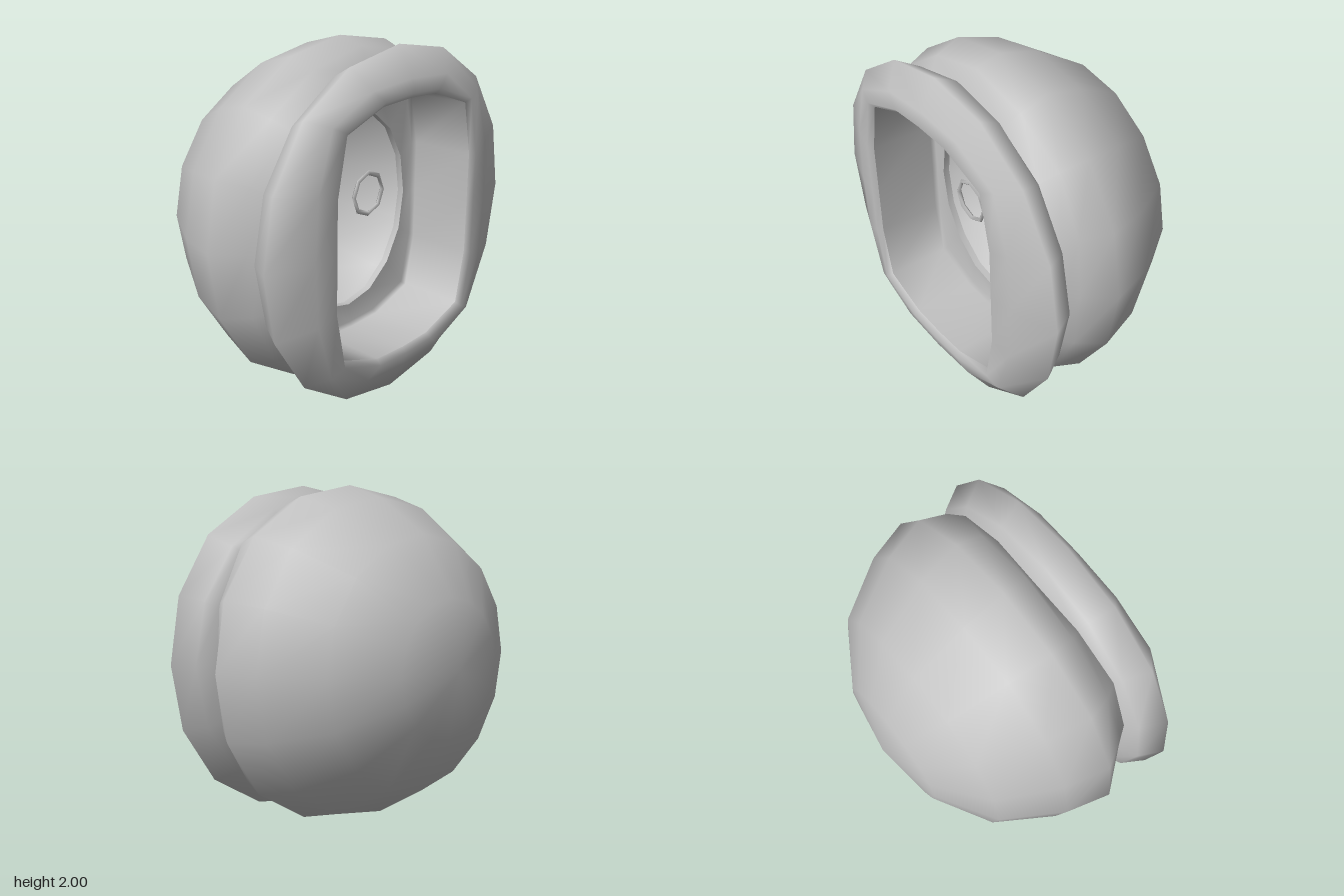
import * as THREE from 'three';
import { mergeVertices } from 'three/addons/utils/BufferGeometryUtils.js';

const SIDES = 16;
const CENTRE_Y = 1;

// Ring of 16 points mirrored from one quarter (5 points from +x to +y)
function mirrorRing(quarter, z, scale = 1) {
  const q = quarter.map(([x, y]) => [x * scale, y * scale]);
  const ring = [];
  for (let i = 0; i < SIDES; i++) {
    const part = Math.floor(i / 4), k = i % 4;
    const [x, y] = q[part % 2 ? 4 - k : k];
    const sx = part === 1 || part === 2 ? -1 : 1;
    const sy = part >= 2 ? -1 : 1;
    ring.push([x * sx, CENTRE_Y + y * sy, z]);
  }
  return ring;
}

// Round ring; the diagonals can be pushed out and forward
function roundRing(r, z, bulge = 0, forward = 0) {
  const ring = [];
  for (let i = 0; i < SIDES; i++) {
    const t = (i / SIDES) * Math.PI * 2;
    const d = Math.sin(2 * t) ** 2;
    const rr = r + bulge * d;
    ring.push([rr * Math.cos(t), CENTRE_Y + rr * Math.sin(t), z + forward * d]);
  }
  return ring;
}

// Smooth skin through a list of rings
function loft(rings) {
  const index = [];
  for (let j = 0; j < rings.length - 1; j++) {
    for (let i = 0; i < SIDES; i++) {
      const n = (i + 1) % SIDES;
      const a = j * SIDES + i, b = j * SIDES + n;
      const c = a + SIDES, d = b + SIDES;
      index.push(a, b, c, b, d, c);
    }
  }
  let geo = new THREE.BufferGeometry();
  geo.setAttribute('position', new THREE.Float32BufferAttribute(rings.flat(2), 3));
  geo.setIndex(index);
  geo = mergeVertices(geo, 1e-4);
  geo.computeVertexNormals();
  return geo;
}

export function createModel() {
  const group = new THREE.Group();
  const grey = new THREE.MeshStandardMaterial({ color: 0xc0c0c0 });
  grey.name = 'grey';

  const add = (name, geo) => {
    const mesh = new THREE.Mesh(geo, grey);
    mesh.name = name;
    group.add(mesh);
    return mesh;
  };

  const opening = [[0.57, 0], [0.57, 0.3], [0.505, 0.615], [0.22, 0.715], [0, 0.725]];
  const oval = [[0.49, 0], [0.455, 0.23], [0.35, 0.42], [0.19, 0.55], [0, 0.59]];
  const rimFace = [[0.73, 0], [0.71, 0.35], [0.61, 0.68], [0.31, 0.81], [0, 0.83]];
  const shellLip = [[0.87, 0], [0.84, 0.36], [0.68, 0.68], [0.37, 0.88], [0, 0.96]];
  const groove = roundRing(0.82, 0.385, 0.07, 0.025);

  // Rounded back shell
  add('backShell', loft([
    roundRing(0, -0.69), roundRing(0.395, -0.62), roundRing(0.73, -0.415),
    roundRing(0.93, -0.085, 0.01), roundRing(1, 0.165, 0.02), mirrorRing(shellLip, 0.32), groove,
  ]));

  // Padded front rim, rolling into the opening
  add('frontRim', loft([
    groove, roundRing(0.93, 0.44), roundRing(1, 0.578, 0.02), mirrorRing(rimFace, 0.67),
    mirrorRing(opening, 0.69, 1.04), mirrorRing(opening, 0.66),
  ]));

  // Steep wall of the opening, rounding into the plate with the oval hole
  add('openingWall', loft([
    mirrorRing(opening, 0.66), mirrorRing(opening, 0.28, 0.995),
    mirrorRing(opening, 0.255, 0.97), mirrorRing(oval, 0.25),
  ]));

  // Thin edge of the oval hole
  add('ovalLip', loft([mirrorRing(oval, 0.25), mirrorRing(oval, 0.21)]));

  // Hidden back of the partition around the hole
  add('partitionBack', loft([mirrorRing(oval, 0.21), roundRing(0.93, 0.17)]));

  // Hollow interior, facing inward
  add('innerShell', loft([
    roundRing(0.93, 0.17), roundRing(0.865, -0.07), roundRing(0.68, -0.37),
    roundRing(0.37, -0.56), roundRing(0, -0.62),
  ]));

  // Small eight-sided ring in the opening
  const ring = add('smallRing', new THREE.TorusGeometry(0.121, 0.014, 4, 8));
  ring.position.set(0, 1.137, 0.385);

  return group;
}
